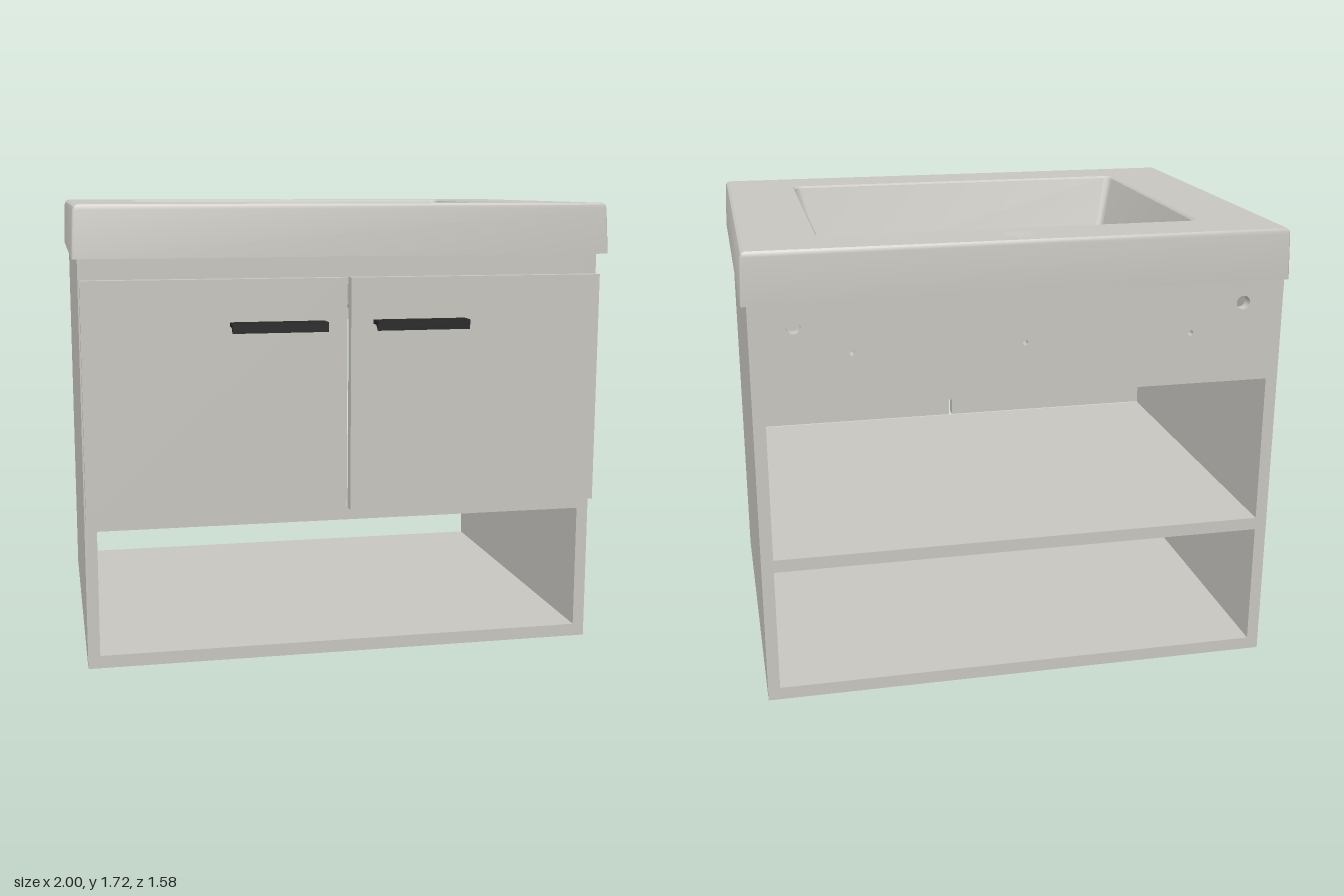
import * as THREE from 'three';
import { toCreasedNormals } from 'three/addons/utils/BufferGeometryUtils.js';

const stone = new THREE.MeshStandardMaterial({ color: 0xc8c6c0 });
stone.name = 'warm grey';
const black = new THREE.MeshStandardMaterial({ color: 0x262626 });
black.name = 'handle black';

function add(parent, name, geometry, material = stone) {
  const mesh = new THREE.Mesh(geometry, material);
  mesh.name = name;
  parent.add(mesh);
  return mesh;
}

// Box given by its limits on each axis
function box(parent, name, x0, x1, y0, y1, z0, z1) {
  const mesh = add(parent, name, new THREE.BoxGeometry(x1 - x0, y1 - y0, z1 - z0));
  mesh.position.set((x0 + x1) / 2, (y0 + y1) / 2, (z0 + z1) / 2);
  return mesh;
}

// Horizontal rounded rectangle; a circle when the radius equals both half sizes
function ring(hx, z0, z1, y, r) {
  const pts = [], n = 6, hz = (z1 - z0) / 2, cz = (z0 + z1) / 2;
  for (const [k, sx, sz] of [[0, 1, 1], [1, -1, 1], [2, -1, -1], [3, 1, -1]]) {
    for (let i = 0; i <= n; i++) {
      const a = (k + i / n) * Math.PI / 2;
      pts.push(new THREE.Vector3(sx * (hx - r) + r * Math.cos(a), y, cz + sz * (hz - r) + r * Math.sin(a)));
    }
  }
  return pts;
}
const drainZ = -0.03;
const circle = (r, y) => ring(r, drainZ - r, drainZ + r, y, r);

// Skin joining successive rings
function loft(rings) {
  const n = rings[0].length, index = [];
  for (let j = 0; j < rings.length - 1; j++) {
    for (let i = 0; i < n; i++) {
      const k = (i + 1) % n, a = j * n + i, b = j * n + k, c = a + n, d = b + n;
      index.push(a, c, b, b, c, d);
    }
  }
  const g = new THREE.BufferGeometry().setFromPoints(rings.flat());
  g.setIndex(index);
  return toCreasedNormals(g, 0.5);
}

const tap = { z: -0.68, r: 0.053 };

// Flat rim face between two rings, pierced by the tap hole
function rimFace(outer, inner, up) {
  const s = up ? -1 : 1;
  const flat = pts => pts.map(p => new THREE.Vector2(p.x, s * p.z));
  const shape = new THREE.Shape(flat(outer));
  shape.holes.push(new THREE.Path(flat(inner)));
  shape.holes.push(new THREE.Path().absarc(0, s * tap.z, tap.r, 0, Math.PI * 2));
  return new THREE.ShapeGeometry(shape, 16).rotateX(s * Math.PI / 2).translate(0, outer[0].y, 0);
}

function makeBasin() {
  const basin = new THREE.Group();
  basin.name = 'basin';
  const opening = ring(0.715, -0.575, 0.52, 1.715, 0.03);
  const underInner = ring(0.695, -0.555, 0.495, 1.525, 0.03);
  const underOuter = ring(1.0, -0.79, 0.737, 1.525, 0.008);
  const topOuter = ring(0.98, -0.784, 0.72, 1.715, 0.008);

  // Bowl interior, drain, flange and bowl underside
  add(basin, 'bowl', loft([
    opening,
    ring(0.708, -0.568, 0.513, 1.708, 0.03),
    ring(0.63, -0.49, 0.43, 1.375, 0.025),
    ring(0.615, -0.475, 0.415, 1.364, 0.025),
    circle(0.105, 1.345), circle(0.097, 1.338), circle(0.07, 1.305),
    circle(0.068, 1.263), circle(0.14, 1.263), circle(0.14, 1.285), circle(0.16, 1.315),
    ring(0.64, -0.5, 0.44, 1.335, 0.03),
    underInner,
  ]));
  // Tapered skirt with a softened top edge
  add(basin, 'skirt', loft([
    underOuter,
    ring(0.993, -0.79, 0.727, 1.695, 0.008),
    ring(0.989, -0.788, 0.725, 1.708, 0.008),
    topOuter,
  ]));
  add(basin, 'rimTop', rimFace(topOuter, opening, true));
  add(basin, 'rimUnderside', rimFace(underOuter, underInner, false));

  // Inner wall of the tap hole
  const wall = new THREE.CylinderGeometry(tap.r, tap.r, 0.19, 32, 1, true);
  wall.scale(-1, 1, 1);
  wall.index.array.reverse();
  for (let i = 0, m = wall.attributes.normal; i < m.count; i++) {
    m.setXYZ(i, -Math.abs(m.getX(i)) * Math.sign(wall.attributes.position.getX(i)), 0,
      -Math.abs(m.getZ(i)) * Math.sign(wall.attributes.position.getZ(i)));
  }
  add(basin, 'tapHole', wall).position.set(0, 1.62, tap.z);

  // Stiffening ribs from the drain to the corners of the bowl
  for (const x of [-1, 1]) for (const z of [-0.47, 0.41]) {
    const dir = new THREE.Vector3(x * 0.61, 0, z - drainZ).normalize();
    const start = dir.clone().multiplyScalar(0.11).add(new THREE.Vector3(0, 1.3, drainZ));
    const path = new THREE.LineCurve3(start, new THREE.Vector3(x * 0.61, 1.328, z));
    add(basin, 'rib', new THREE.TubeGeometry(path, 1, 0.025, 16));
    add(basin, 'ribEnd', new THREE.SphereGeometry(0.025, 16, 10)).position.copy(path.v2);
  }
  return basin;
}

function makeCabinet() {
  const cabinet = new THREE.Group();
  cabinet.name = 'cabinet';
  for (const s of [-1, 1]) {
    box(cabinet, 'sidePanel', s * 0.9575 - 0.0225, s * 0.9575 + 0.0225, 0, 1.525, -0.79, 0.67);
    // Fixing stud below the shelf
    add(cabinet, 'shelfStud', new THREE.CylinderGeometry(0.022, 0.022, 0.02, 16))
      .position.set(s * 0.83, 0.517, -0.66);
  }
  box(cabinet, 'bottomPanel', -0.935, 0.935, 0, 0.048, -0.79, 0.67);
  box(cabinet, 'shelf', -0.935, 0.935, 0.525, 0.573, -0.79, 0.67);
  box(cabinet, 'frontRail', -0.935, 0.935, 1.42, 1.525, 0.625, 0.67);

  // Back rail with wall-mounting holes
  const rail = new THREE.Shape([[-0.935, 1.145], [0.935, 1.145], [0.935, 1.525], [-0.935, 1.525]]
    .map(p => new THREE.Vector2(...p)));
  for (const [x, y, r] of [[-0.825, 1.445, 0.026], [0.825, 1.445, 0.026],
    [-0.625, 1.34, 0.01], [0, 1.34, 0.01], [0.625, 1.34, 0.01]]) {
    rail.holes.push(new THREE.Path().absarc(x, y, r, 0, Math.PI * 2));
  }
  add(cabinet, 'backRail', new THREE.ExtrudeGeometry(rail, { depth: 0.045, bevelEnabled: false }))
    .position.z = -0.79;
  return cabinet;
}

function makeDoor(side) {
  const door = new THREE.Group();
  door.name = side > 0 ? 'leftDoor' : 'rightDoor';
  box(door, 'doorPanel', side * 0.491 - 0.484, side * 0.491 + 0.484, 0.573, 1.447, 0.677, 0.722);

  // Ledge handle with a turned-down lip, drawn in (z, y)
  const profile = new THREE.Shape([[0.72, 1.292], [0.79, 1.292], [0.79, 1.257],
    [0.783, 1.257], [0.762, 1.276], [0.72, 1.276]].map(p => new THREE.Vector2(...p)));
  const grip = new THREE.ExtrudeGeometry(profile, { depth: 0.35, bevelEnabled: false });
  grip.rotateY(-Math.PI / 2).scale(1, 1, 1);
  add(door, 'handle', grip, black).position.x = side * 0.267 + 0.175;
  return door;
}

export function createModel() {
  const model = new THREE.Group();
  model.name = 'vanityUnit';
  model.add(makeCabinet(), makeBasin(), makeDoor(1), makeDoor(-1));
  return model;
}
